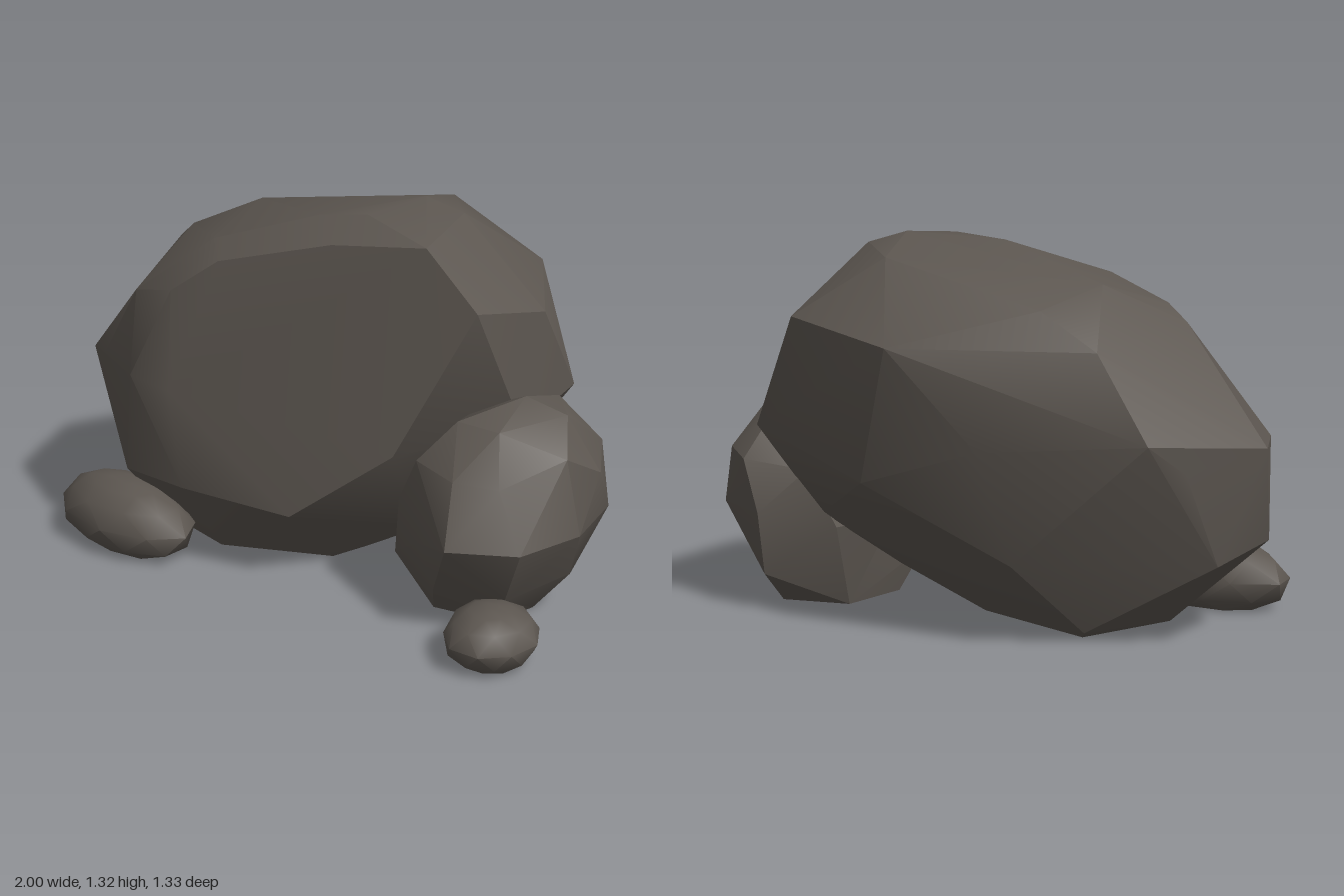
import * as THREE from 'three';
import { ConvexGeometry } from 'three/addons/geometries/ConvexGeometry.js';
import { toCreasedNormals } from 'three/addons/utils/BufferGeometryUtils.js';

const stone = new THREE.MeshStandardMaterial({ color: 0x5c5650 });
stone.name = 'stone';

// Faceted rock: convex hull of its corners, with shallow edges softened
function rock(name, corners, crease = 0.5) {
  const hull = new ConvexGeometry(corners.map((c) => new THREE.Vector3(...c)));
  const mesh = new THREE.Mesh(toCreasedNormals(hull, crease), stone);
  mesh.name = name;
  return mesh;
}

// Rounded pebble: rings of [y, radius scale, twist] around an oval, turned about y
function pebble(name, [cx, cz], [rx, rz], turn, rings) {
  const corners = [];
  for (const [y, scale, twist] of rings) {
    for (let i = 0; i < 9; i++) {
      const a = ((i + twist) / 9) * Math.PI * 2;
      const r = scale * (1 + 0.03 * Math.sin(i * 2.3 + y * 20));
      const px = Math.cos(a) * rx * r;
      const pz = Math.sin(a) * rz * r;
      corners.push([
        cx + px * Math.cos(turn) - pz * Math.sin(turn),
        y,
        cz + px * Math.sin(turn) + pz * Math.cos(turn),
      ]);
    }
  }
  return rock(name, corners, 0.8);
}

export function createModel() {
  const group = new THREE.Group();
  group.name = 'rockCluster';

  group.add(rock('boulder', [
    // broad front face
    [-0.47, 1.0, 0.31], [-0.62, 0.68, 0.35], [-0.4, 0.31, 0.385], [-0.45, 0.66, 0.38],
    [0, 0.27, 0.35], [0.35, 0.53, 0.27], [0.6, 1.04, 0.17], [0.42, 1.24, 0.18],
    [0.1, 1.22, 0.23], [-0.3, 1.12, 0.28],
    // top
    [0.18, 1.305, 0.12], [0.28, 1.32, -0.12], [0.42, 1.28, -0.12], [0.26, 1.25, -0.4],
    [-0.3, 1.1, -0.52], [-0.45, 1.17, -0.3], [-0.63, 1.1, -0.12], [-0.36, 1.17, 0.2],
    [0, 1.28, 0.12],
    // right end
    [0.72, 0.98, -0.12], [0.58, 1.05, -0.44], [0.76, 0.66, -0.32], [0.7, 0.6, 0],
    [0.55, 0.35, -0.25],
    // back
    [0.18, 0.98, -0.65], [-0.13, 0.66, -0.665], [-0.68, 0.7, -0.645], [-0.5, 0.98, -0.58],
    [0.3, 0.52, -0.55], [-0.22, 0.28, -0.58], [-0.78, 0.6, -0.54],
    // left end
    [-1, 0.66, -0.32], [-0.95, 0.64, 0.07], [-0.85, 0.66, 0.155], [-0.66, 0.95, 0.23],
    [-0.98, 0.32, -0.12], [-0.86, 0.28, -0.4], [-0.7, 1.04, -0.15], [-0.84, 0.22, -0.05],
    [-0.7, 0.28, 0.27],
    // underside
    [0.02, 0, 0.06], [0.12, 0.03, -0.02], [0.33, 0.14, -0.05], [0, 0.01, -0.12],
    [-0.4, 0, -0.34], [-0.42, 0.03, -0.4], [-0.65, 0.02, -0.12], [-0.38, 0, 0.16],
    [-0.6, 0.03, 0.1],
  ]));

  group.add(rock('sideRock', [
    // crown
    [0.73, 0.74, 0.05], [0.56, 0.68, 0.22], [0.72, 0.68, 0.25], [0.87, 0.69, 0.03],
    [0.77, 0.68, -0.15], [0.56, 0.66, 0],
    // front
    [0.64, 0.34, 0.49], [0.87, 0.34, 0.41], [0.62, 0.54, 0.39], [0.77, 0.53, 0.36],
    [0.45, 0.55, 0.3], [0.37, 0.38, 0.26], [0.5, 0.3, 0.385], [0.33, 0.15, 0.2],
    [0.55, 0.13, 0.37], [0.8, 0.14, 0.36],
    // outer side
    [1, 0.52, 0.05], [0.985, 0.34, 0.18], [0.985, 0.34, -0.09], [0.91, 0.13, 0.05],
    [0.93, 0.6, 0.18], [0.93, 0.55, -0.15],
    // back
    [0.83, 0.53, -0.28], [0.76, 0.35, -0.33], [0.6, 0.5, -0.27], [0.75, 0.13, -0.3],
    [0.5, 0.3, -0.25], [0.38, 0.3, 0],
    // base
    [0.4, 0, 0.12], [0.5, 0, 0.25], [0.72, 0, 0.25], [0.8, 0, 0.1], [0.75, 0, -0.13],
    [0.5, 0, -0.13],
  ]));

  group.add(pebble('leftPebble', [-0.71, 0.275], [0.315, 0.17], 0.3, [
    [0, 0.65, 0], [0.04, 0.9, 0.5], [0.11, 1, 0], [0.18, 0.8, 0.5], [0.225, 0.5, 0],
    [0.242, 0.2, 0.5],
  ]));
  group.add(pebble('frontPebble', [0.812, 0.495], [0.156, 0.17], 0, [
    [0, 0.6, 0], [0.035, 0.87, 0.5], [0.09, 1, 0], [0.15, 0.8, 0.5], [0.18, 0.45, 0],
    [0.19, 0.15, 0.5],
  ]));

  return group;
}
